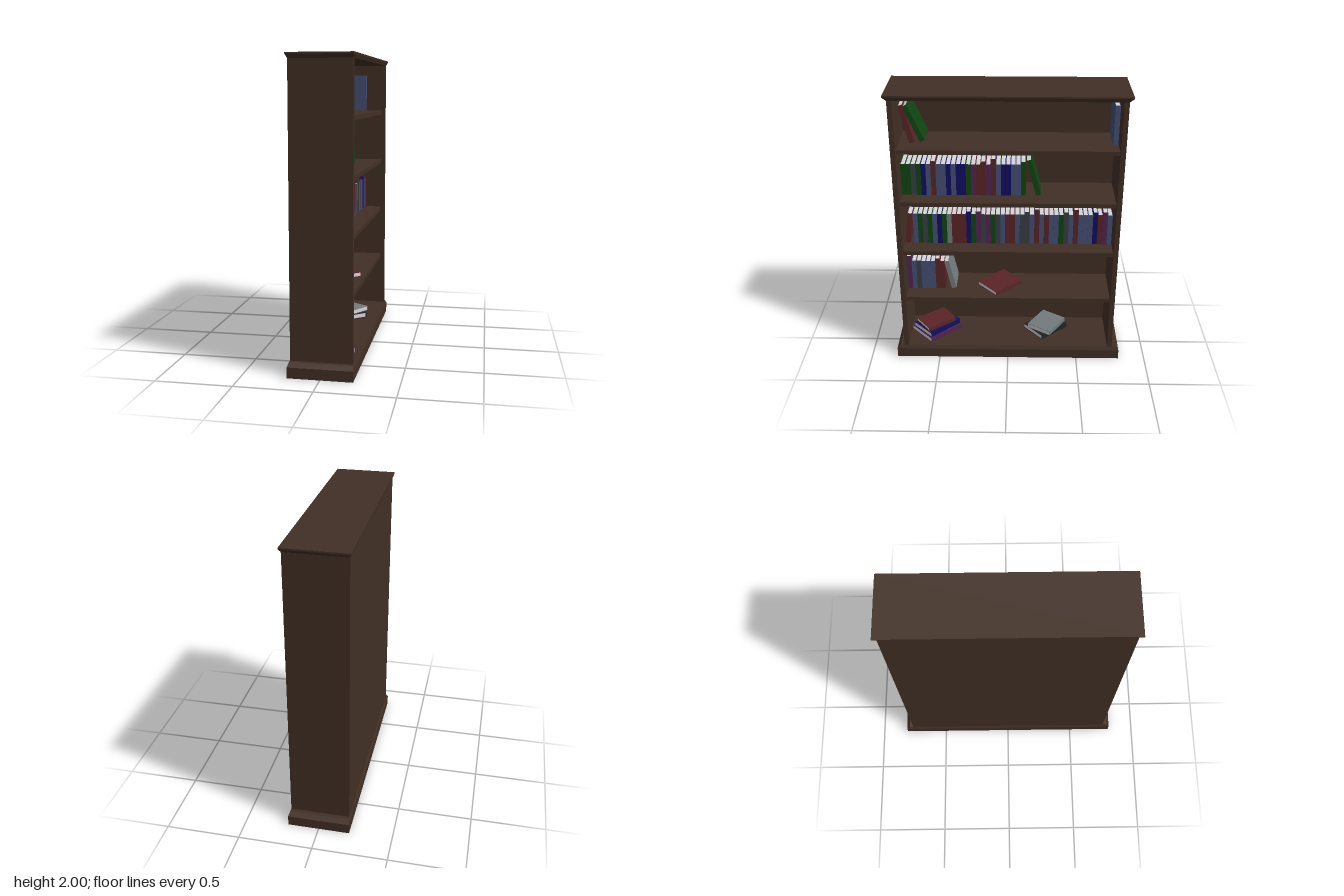
import * as THREE from 'three';

const mat = (name, color) => Object.assign(new THREE.MeshStandardMaterial({ color }), { name });

export function createModel() {
  const wood = mat('dark wood', 0x412f25);
  const paper = mat('paper', 0xd6d6d8);
  const covers = {
    R: mat('red cover', 0x5a2426),
    G: mat('green cover', 0x0f4412),
    N: mat('navy cover', 0x100f62),
    B: mat('blue cover', 0x434e74),
    P: mat('purple cover', 0x522350),
    K: mat('charcoal cover', 0x393c42),
    S: mat('silver cover', 0x727b7d),
    D: mat('black cover', 0x232326),
  };

  const model = new THREE.Group();
  model.name = 'bookcase';

  function box(parent, name, material, sx, sy, sz, x, y, z) {
    const m = new THREE.Mesh(new THREE.BoxGeometry(sx, sy, sz), material);
    m.name = name;
    m.position.set(x, y, z);
    parent.add(m);
    return m;
  }

  // Box whose top or bottom rim is scaled in to make a sloped moulding
  function sloped(name, y0, y1, low, high) {
    const m = box(model, name, wood, 2, y1 - y0, 2, 0, (y0 + y1) / 2, 0);
    const p = m.geometry.attributes.position;
    for (let i = 0; i < p.count; i++) {
      const [hx, hz] = p.getY(i) > 0 ? high : low;
      p.setX(i, p.getX(i) * hx);
      p.setZ(i, p.getZ(i) * hz);
    }
    m.geometry = m.geometry.toNonIndexed();
    m.geometry.computeVertexNormals();
  }

  // Plinth and crown
  sloped('plinth', 0, 0.07, [0.21, 0.81], [0.21, 0.81]);
  sloped('plinthBevel', 0.07, 0.097, [0.21, 0.81], [0.2, 0.785]);
  sloped('crownBevel', 1.965, 1.99, [0.2, 0.757], [0.21, 0.785]);
  sloped('crown', 1.99, 2, [0.21, 0.785], [0.21, 0.785]);

  // Sides, back and shelves
  for (const s of [1, -1]) {
    box(model, s > 0 ? 'frontSide' : 'rearSide', wood, 0.4, 1.868, 0.033, 0, 1.031, s * 0.7415);
  }
  box(model, 'backPanel', wood, 0.03, 1.868, 1.45, -0.185, 1.031, 0);
  const shelfTops = [0.492, 0.87, 1.245, 1.622];
  shelfTops.forEach((y) => box(model, 'shelf', wood, 0.34, 0.03, 1.45, 0, y - 0.015, 0));

  // Book centred on its origin: thickness on z, height on y, spine on +x
  const C = 0.003;
  function book(colour, thick, height, depth) {
    const g = new THREE.Group();
    g.name = 'book';
    const m = covers[colour];
    for (const s of [1, -1]) {
      box(g, 'cover', m, depth, height, C, 0, 0, (s * (thick - C)) / 2);
    }
    box(g, 'spine', m, C, height, thick - 2 * C, (depth - C) / 2, 0, 0);
    box(g, 'pages', paper, depth - 2 * C, height - 2 * C, thick - 2 * C, 0, 0, 0);
    model.add(g);
    return g;
  }

  const BACK = -0.165;
  const DEPTH = 0.212;
  const T = 0.0338;

  // Upright row running towards -z; the digits pick each book's height
  function row(y, z, colours, heights) {
    [...colours].forEach((c, i) => {
      const h = [0.228, 0.248, 0.268][heights[i]];
      book(c, T - 0.0006, h, DEPTH).position.set(BACK + DEPTH / 2, y + h / 2, z - (i + 0.5) * T);
    });
  }

  // Tilted book resting on one lower corner at z; a positive tilt leans to +z
  function leaning(colour, y, z, tilt, h) {
    const s = Math.sign(tilt);
    const b = book(colour, T, h, DEPTH);
    const cos = Math.cos(tilt), sin = Math.sin(tilt);
    const dz = (-s * T) / 2, dy = h / 2;
    b.rotation.x = tilt;
    b.position.set(BACK + DEPTH / 2, y + dy * cos - dz * sin, z + dz * cos + dy * sin);
  }

  // Flat book placed by its outermost corner (x, z), turned by an angle
  function lying(colour, y, thick, x, z, angle, depth, height) {
    const b = book(colour, thick, height, depth);
    const cos = Math.cos(angle), sin = Math.sin(angle);
    b.rotation.set(Math.PI / 2, Math.PI / 2 - angle, 0, 'YXZ');
    b.position.set(
      x - (depth * sin) / 2 - (height * cos) / 2,
      y + thick / 2,
      z + (depth * cos) / 2 - (height * sin) / 2
    );
  }

  // Top shelf
  leaning('R', 1.622, 0.652, 0.25, 0.265);
  leaning('G', 1.632, 0.582, 0.42, 0.265);
  book('B', T, 0.27, 0.22).position.set(-0.055, 1.757, -0.707);

  // Second shelf
  row(1.245, 0.725, 'GGKGNBRBBNBNNGPRRPRBNNBBG', '0000001000000000102000001');
  leaning('G', 1.245, -0.19, 0.26, 0.265);

  // Third shelf
  leaning('R', 0.87, 0.688, -0.1, 0.23);
  row(0.87, 0.663, 'BGKGBNGSRRRNGPKPGKBRRBKKBRBRBBGKBRBBBNRPB',
    '00000000000101000000000102000001020001010');

  // Fourth shelf
  row(0.492, 0.725, 'PBKBBBRR', '20000010');
  leaning('S', 0.492, 0.408, 0.22, 0.228);
  lying('R', 0.494, 0.031, 0.143, 0.085, 0.83, 0.2, 0.25);

  // Bottom stacks
  lying('P', 0.104, 0.036, 0.18, 0.56, 0.82, 0.232, 0.285);
  lying('N', 0.142, 0.037, 0.17, 0.56, 0.8, 0.2, 0.272);
  lying('R', 0.181, 0.028, 0.15, 0.576, 0.91, 0.17, 0.235);
  lying('D', 0.104, 0.035, 0.13, -0.25, 0.86, 0.2, 0.25);
  lying('S', 0.141, 0.033, 0.13, -0.305, 0.576, 0.19, 0.22);

  return model;
}
